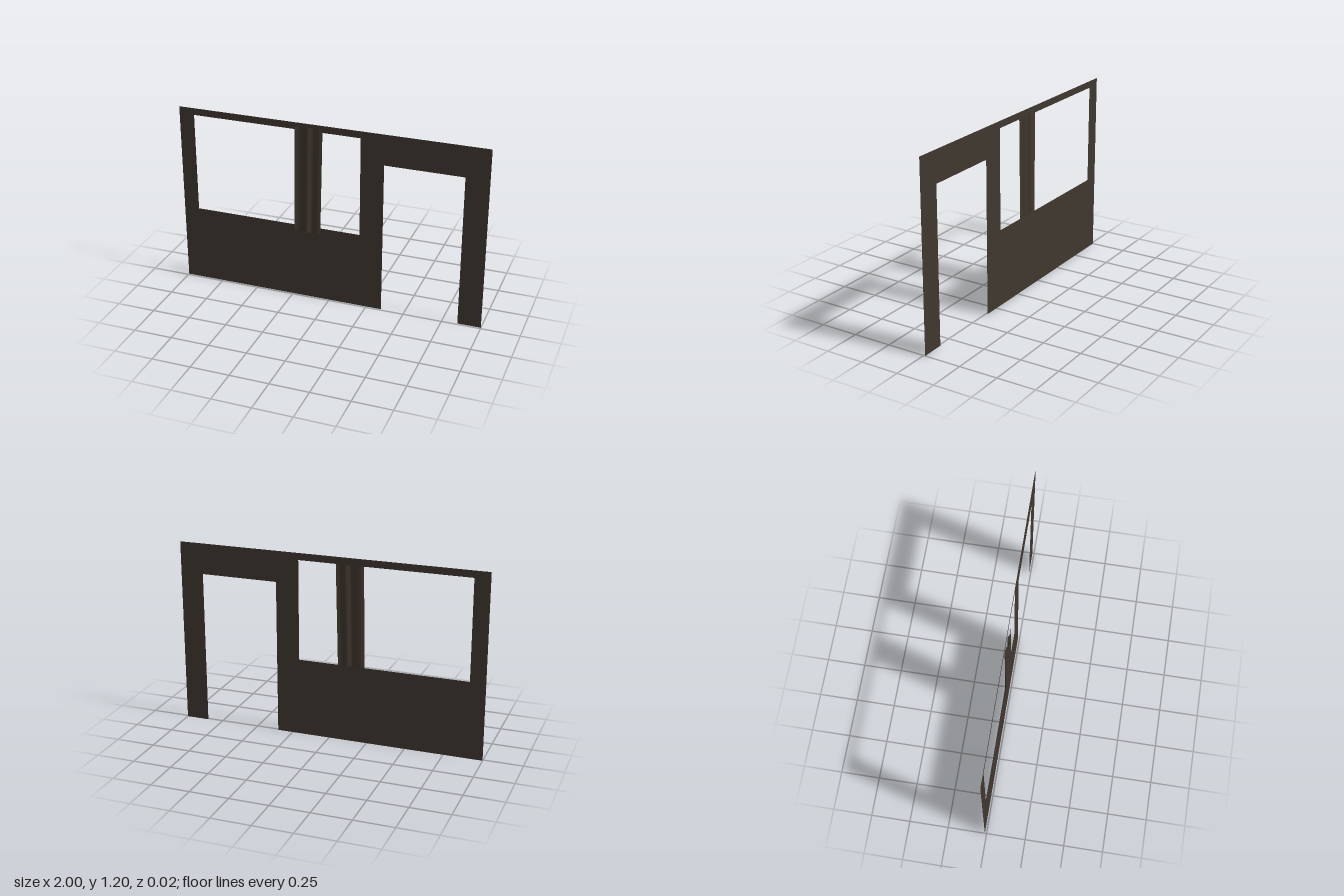
import * as THREE from 'three';

const WALL_Z = -0.011;

// Flat panel outline with a doorway notch and a window hole
function wallGeometry() {
  const outline = [[-1, 0], [0.35, 0], [0.35, 1], [0.85, 1], [0.85, 0], [1, 0], [1, 1.2], [-1, 1.2]];
  const shape = new THREE.Shape(outline.map(([x, y]) => new THREE.Vector2(x, y)));
  const hole = [[-0.9, 0.505], [-0.9, 1.155], [0.2, 1.155], [0.2, 0.505]];
  shape.holes.push(new THREE.Path(hole.map(([x, y]) => new THREE.Vector2(x, y))));
  return new THREE.ShapeGeometry(shape).translate(0, 0, WALL_Z);
}

// Gathered cloth: a folded horizontal profile that drifts sideways as it hangs
function curtainGeometry() {
  const profile = [[-0.22, 0.002], [-0.2, -0.006], [-0.16, -0.005], [-0.135, 0.009],
    [-0.11, -0.004], [-0.095, -0.006], [-0.065, 0.008], [-0.038, 0.003]];
  const curve = new THREE.CatmullRomCurve3(profile.map(([x, z]) => new THREE.Vector3(x, 0, z)));
  const geometry = new THREE.PlaneGeometry(1, 1, 48, 12);
  const position = geometry.attributes.position;
  const point = new THREE.Vector3();
  for (let i = 0; i < position.count; i++) {
    const across = position.getX(i) + 0.5;
    const drop = 0.5 - position.getY(i);
    curve.getPoint(across, point);
    const drift = -drop * (0.008 + 0.008 * across);
    position.setXYZ(i, point.x + drift, 1.18 - 0.71 * drop, point.z + 0.002 * drop);
  }
  geometry.computeVertexNormals();
  return geometry;
}

export function createModel() {
  const group = new THREE.Group();
  group.name = 'wallWithCurtain';
  const darkBrown = new THREE.MeshStandardMaterial({ color: 0x40372f, side: THREE.DoubleSide });
  darkBrown.name = 'darkBrown';

  const wall = new THREE.Mesh(wallGeometry(), darkBrown);
  wall.name = 'wall';
  const curtain = new THREE.Mesh(curtainGeometry(), darkBrown);
  curtain.name = 'curtain';
  group.add(wall, curtain);
  return group;
}
